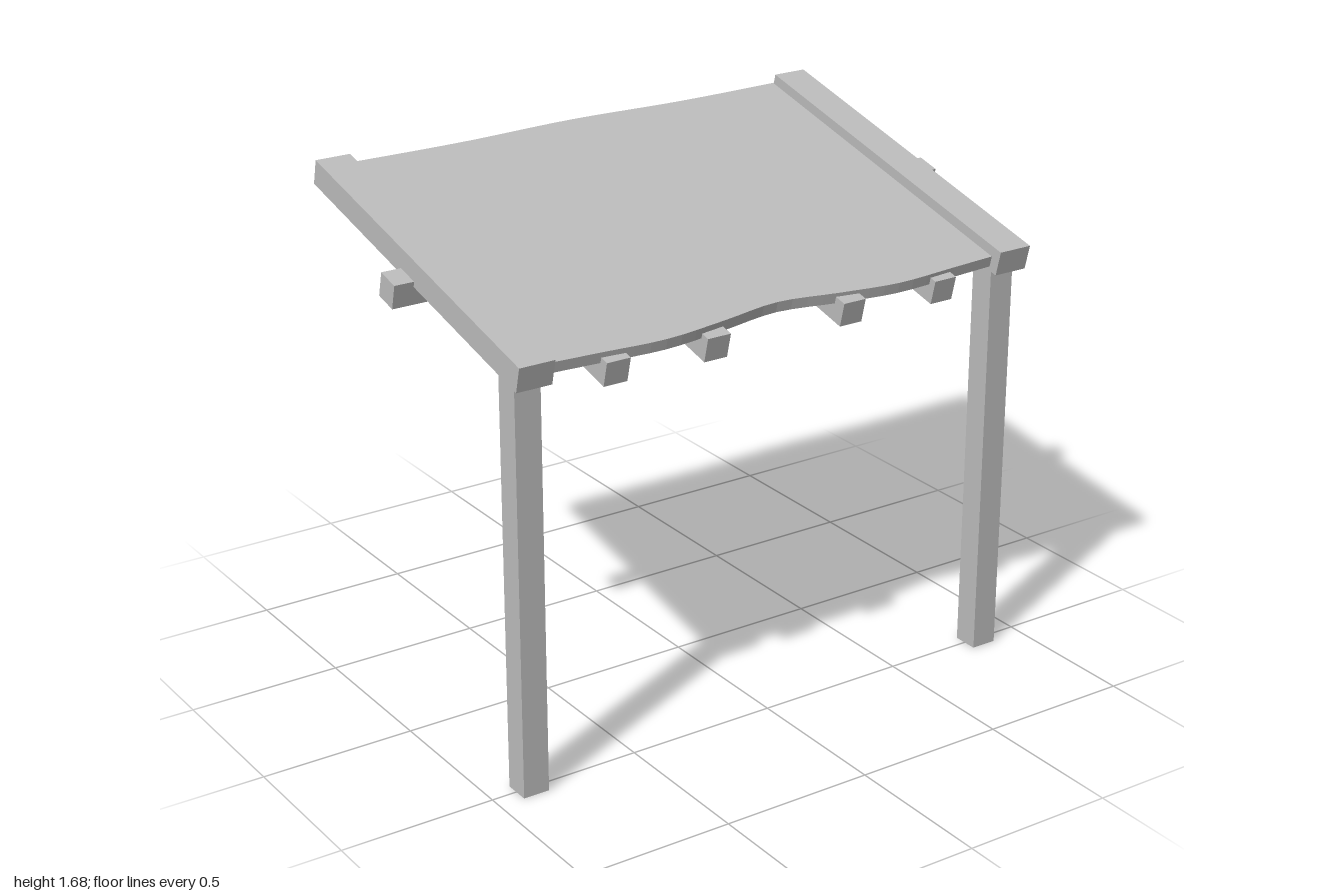
import * as THREE from 'three';

const wood = new THREE.MeshStandardMaterial({ color: 0xbcbcbc });
wood.name = 'plain grey';

function box(name, w, h, d, x, y, z) {
  const mesh = new THREE.Mesh(new THREE.BoxGeometry(w, h, d), wood);
  mesh.name = name;
  mesh.position.set(x, y, z);
  return mesh;
}

// Roof panel in plan, with gently waved front and back edges
function roofPanel() {
  const toPoints = (list) => list.map(([x, z]) => new THREE.Vector2(x, z));
  const front = new THREE.SplineCurve(toPoints([
    [-0.88, 0.572], [-0.65, 0.584], [-0.43, 0.595], [-0.22, 0.574], [-0.01, 0.548],
    [0.2, 0.574], [0.41, 0.595], [0.63, 0.584], [0.85, 0.572],
  ])).getPoints(32);
  const back = new THREE.SplineCurve(toPoints([
    [0.85, -0.615], [0.41, -0.61], [-0.01, -0.622], [-0.43, -0.61], [-0.88, -0.615],
  ])).getPoints(24);
  const geometry = new THREE.ExtrudeGeometry(new THREE.Shape([...front, ...back]), {
    depth: 0.036, bevelEnabled: false,
  });
  geometry.rotateX(Math.PI / 2);
  const mesh = new THREE.Mesh(geometry, wood);
  mesh.name = 'roofPanel';
  mesh.position.y = 0.008;
  return mesh;
}

export function createModel() {
  const model = new THREE.Group();
  model.name = 'leanToShelter';

  // Two front posts
  model.add(box('rightPost', 0.086, 1.335, 0.085, -0.875, 0.6675, 0.503));
  model.add(box('leftPost', 0.086, 1.335, 0.085, 0.843, 0.6675, 0.503));

  // Everything in the roof shares one slope
  const roof = new THREE.Group();
  roof.name = 'slopedRoof';
  roof.position.set(0, 1.495, 0.0025);
  roof.rotation.x = Math.atan(0.2447);
  model.add(roof);

  roof.add(roofPanel());
  roof.add(box('rightSideBeam', 0.117, 0.082, 1.22, -0.8765, 0, 0));
  roof.add(box('leftSideBeam', 0.117, 0.082, 1.22, 0.8435, 0, 0));

  // Rafters below the panel
  [[-0.605, -0.05], [-0.26, -0.052], [0.229, -0.045], [0.575, -0.045]].forEach(([x, y]) => {
    roof.add(box('rafter', 0.08, 0.08, 1.2, x, y, 0.015));
  });

  // Beam across the whole width
  roof.add(box('crossBeam', 2, 0.08, 0.08, 0, -0.063, -0.018));

  return model;
}
